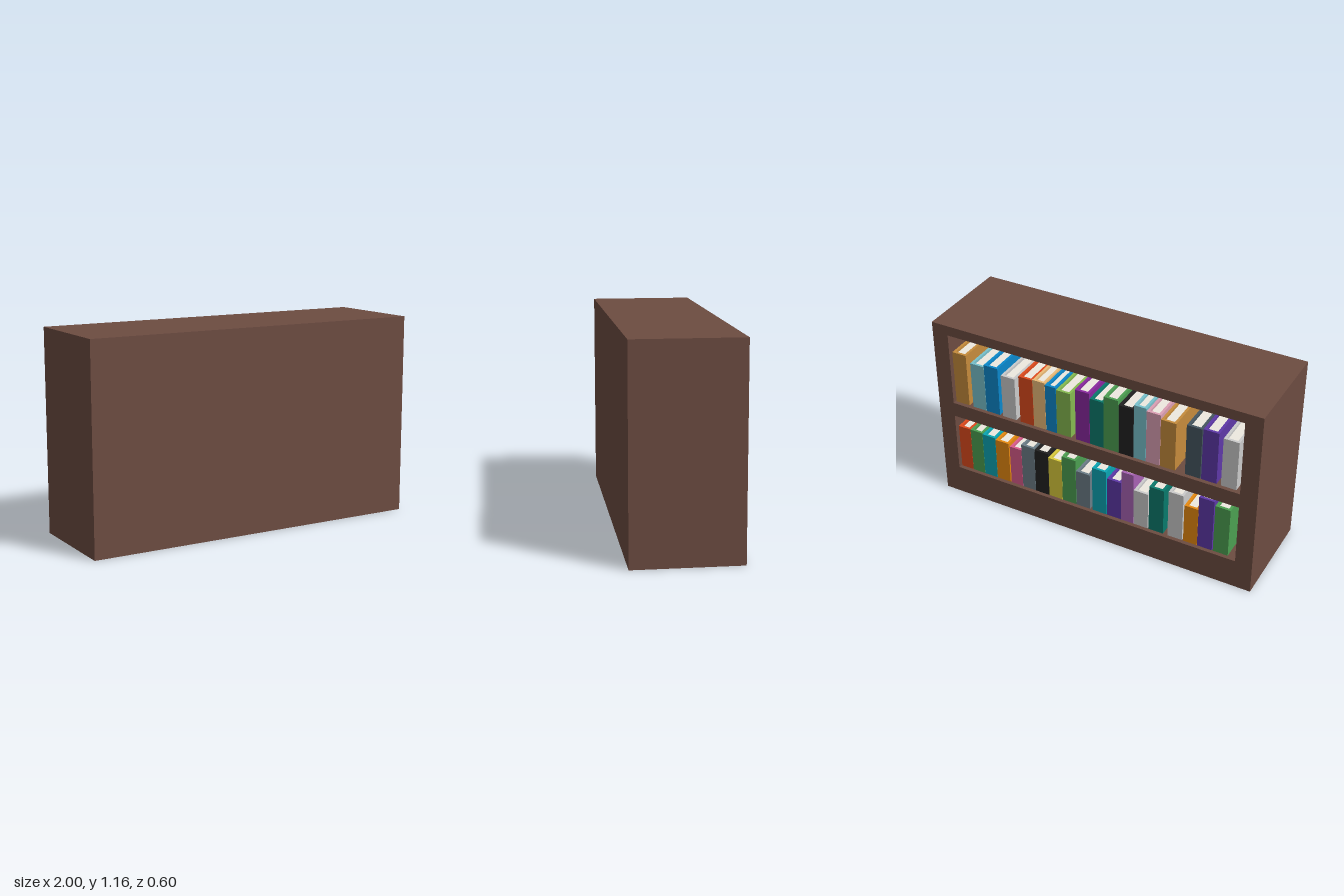
import * as THREE from 'three';

const BROWN = 0x6d4c41, RED = 0xe04a1c, GREEN = 0x4ca052, CYAN = 0x0aa6b4, ORANGE = 0xe88a10,
  PINK = 0xdc5c8c, SLATE = 0x6c7e88, BLACK = 0x212121, YELLOW = 0xdccd3c, PURPLE = 0x5e38a8,
  LILAC = 0xa862b4, GREY = 0xbdbdbd, TEAL = 0x087a6c, TAN = 0xc68c3c, AQUA = 0x78c2cd,
  BLUE = 0x0a88cc, SAND = 0xecbc78, OLIVE = 0x86ba50, VIOLET = 0x8a28a0, ROSE = 0xdca0b4, DARK = 0x465660;

const materials = new Map();
function paint(color) {
  if (!materials.has(color)) materials.set(color, new THREE.MeshStandardMaterial({ color }));
  return materials.get(color);
}

function box(name, w, h, d, x, y, z, color) {
  const mesh = new THREE.Mesh(new THREE.BoxGeometry(w, h, d), paint(color));
  mesh.name = name;
  mesh.position.set(x, y, z);
  return mesh;
}

// Rectangle path, clockwise, for the openings
function opening(x, y0, y1) {
  const p = new THREE.Path();
  p.moveTo(-x, y0).lineTo(-x, y1).lineTo(x, y1).lineTo(x, y0).closePath();
  return p;
}

// Hardback: spine towards -z, two boards and a recessed page block
function book(x, y, w, h, color) {
  const g = new THREE.Group();
  const t = 0.015, d = 0.32;
  g.name = 'book';
  g.add(box('spine', w, h, t, 0, h / 2, t / 2, color));
  for (const s of [-1, 1]) {
    g.add(box('coverBoard', t, h, d - t, s * (w - t) / 2, h / 2, (d + t) / 2, color));
  }
  g.add(box('pages', w - 2 * t, h - 0.03, d - t - 0.02, 0, h / 2, (d + t - 0.02) / 2, 0xeeeae0));
  g.position.set(x, y, -0.277);
  return g;
}

// Each book: distance of its near edge from the left end, top height, colour
const upperBooks = [
  [0.105, 0.98, TAN], [0.222, 0.94, AQUA], [0.313, 0.955, BLUE], [0.423, 0.92, GREY], [0.54, 0.95, RED],
  [0.63, 0.955, SAND], [0.71, 0.945, BLUE], [0.78, 0.935, OLIVE], [0.9, 0.975, VIOLET], [0.99, 0.945, TEAL],
  [1.076, 0.985, GREEN], [1.167, 0.96, BLACK], [1.26, 0.99, AQUA], [1.335, 0.975, ROSE], [1.42, 0.95, TAN],
  [1.57, 0.965, DARK], [1.665, 0.97, PURPLE], [1.78, 0.95, GREY],
];
const lowerBooks = [
  [0.105, 0.47, RED], [0.187, 0.47, GREEN], [0.27, 0.465, CYAN], [0.358, 0.455, ORANGE], [0.455, 0.44, PINK],
  [0.535, 0.48, SLATE], [0.623, 0.475, BLACK], [0.714, 0.45, YELLOW], [0.803, 0.49, GREEN], [0.895, 0.42, SLATE],
  [1.0, 0.48, CYAN], [1.096, 0.44, PURPLE], [1.186, 0.52, LILAC], [1.264, 0.42, GREY], [1.36, 0.48, TEAL],
  [1.478, 0.49, GREY], [1.575, 0.43, ORANGE], [1.66, 0.52, PURPLE], [1.756, 0.495, GREEN],
];

function bookRow(name, books, floor) {
  const row = new THREE.Group();
  row.name = name;
  books.forEach(([u, top, color], i) => {
    const next = i + 1 < books.length ? books[i + 1][0] : 1.9;
    const w = Math.min(0.09, next - u - 0.001);
    row.add(book(1 - u - w / 2, floor, w, top - floor, color));
  });
  return row;
}

export function createModel() {
  const model = new THREE.Group();
  model.name = 'bookcase';
  const H = 1.16;

  // Case with two compartments that open towards -z
  const outline = new THREE.Shape();
  outline.moveTo(-1, 0).lineTo(1, 0).lineTo(1, H).lineTo(-1, H).closePath();
  outline.holes.push(opening(0.9, 0.18, 0.555), opening(0.9, 0.645, 1.1));
  const frame = new THREE.Mesh(
    new THREE.ExtrudeGeometry(outline, { depth: 0.5, bevelEnabled: false }), paint(BROWN));
  frame.name = 'caseFrame';
  frame.position.z = -0.3;
  model.add(frame);

  // Closed panel on the +z side
  model.add(box('closedPanel', 2, H, 0.1, 0, H / 2, 0.25, BROWN));

  model.add(bookRow('upperBooks', upperBooks, 0.645), bookRow('lowerBooks', lowerBooks, 0.18));
  return model;
}
